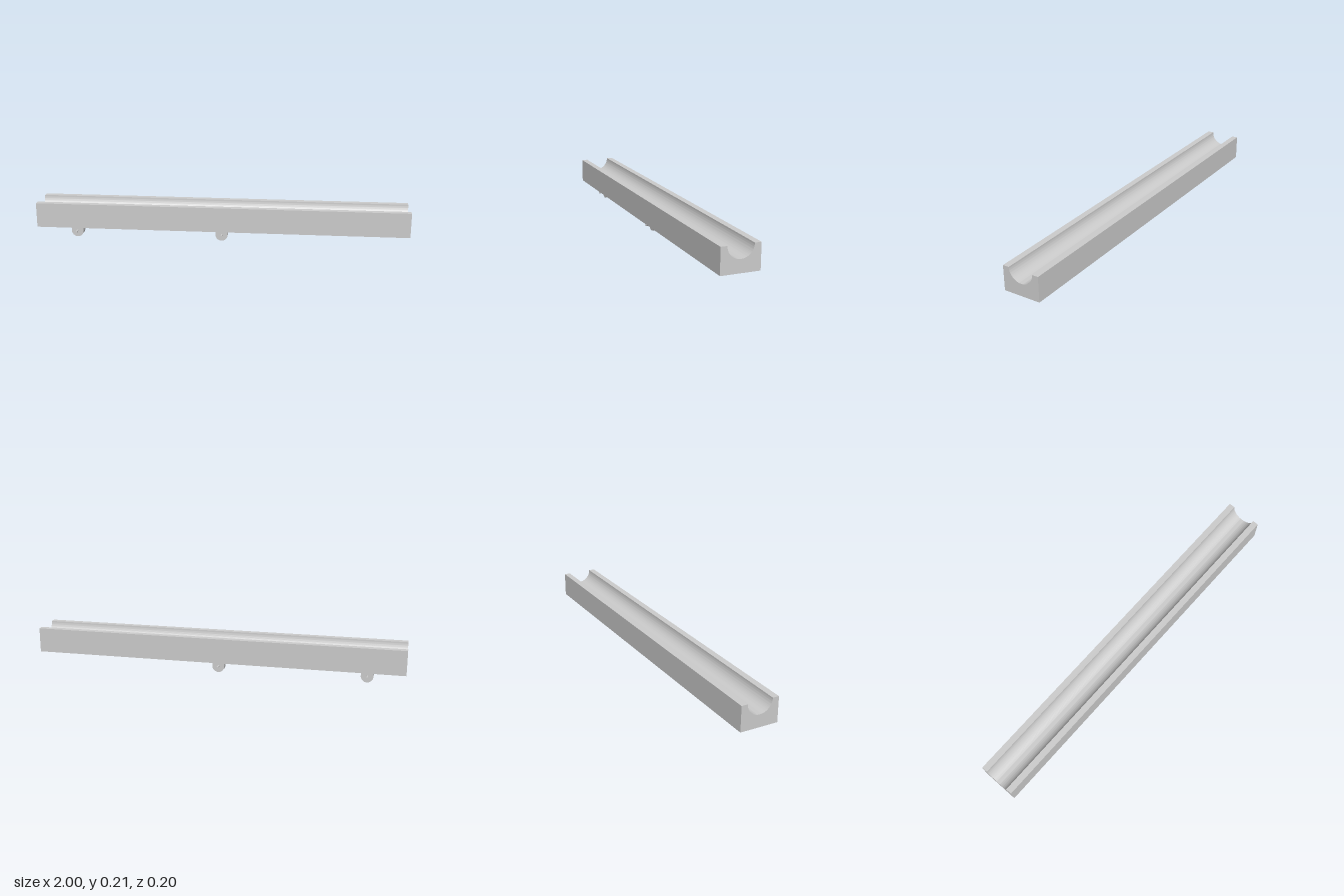
import * as THREE from 'three';
import { toCreasedNormals } from 'three/addons/utils/BufferGeometryUtils.js';

const material = new THREE.MeshStandardMaterial({ color: 0xcccccc });

// Extrudes a shape centred on its depth, keeping curves smooth and corners sharp.
function extrude(shape, depth) {
  const geometry = new THREE.ExtrudeGeometry(shape, { depth, bevelEnabled: false, curveSegments: 32 });
  geometry.translate(0, 0, -depth / 2);
  return toCreasedNormals(geometry, 0.6);
}

function addMesh(parent, name, geometry) {
  const mesh = new THREE.Mesh(geometry, material);
  mesh.name = name;
  parent.add(mesh);
  return mesh;
}

export function createModel() {
  const model = new THREE.Group();
  model.name = 'groovedRail';

  // Long rail with a half-round channel along its top
  const bottom = 0.075, top = 0.208, halfWidth = 0.1, grooveRadius = 0.067;
  const profile = new THREE.Shape();
  profile.moveTo(-halfWidth, bottom);
  profile.lineTo(halfWidth, bottom);
  profile.lineTo(halfWidth, top);
  profile.lineTo(grooveRadius, top);
  profile.absarc(0, top, grooveRadius, 0, -Math.PI, true);
  profile.lineTo(-halfWidth, top);
  profile.closePath();
  addMesh(model, 'rail', extrude(profile, 2).rotateY(Math.PI / 2));

  // Round-ended lug, hanging from the rail
  const lugRadius = 0.033, pinHeight = 0.034;
  const lugShape = new THREE.Shape();
  lugShape.moveTo(lugRadius, bottom);
  lugShape.lineTo(-lugRadius, bottom);
  lugShape.lineTo(-lugRadius, lugRadius);
  lugShape.absarc(0, lugRadius, lugRadius, Math.PI, 2 * Math.PI, false);
  lugShape.closePath();
  const lugGeometry = extrude(lugShape, 0.038);

  // Cross pin, through the lug
  const pinGeometry = new THREE.CylinderGeometry(0.0055, 0.0055, 0.107, 24).rotateX(Math.PI / 2);

  for (const x of [-0.8, 0]) {
    const mount = new THREE.Group();
    mount.name = x < 0 ? 'endMount' : 'middleMount';
    mount.position.x = x;
    addMesh(mount, 'lug', lugGeometry);
    addMesh(mount, 'crossPin', pinGeometry).position.y = pinHeight;
    model.add(mount);
  }
  return model;
}
